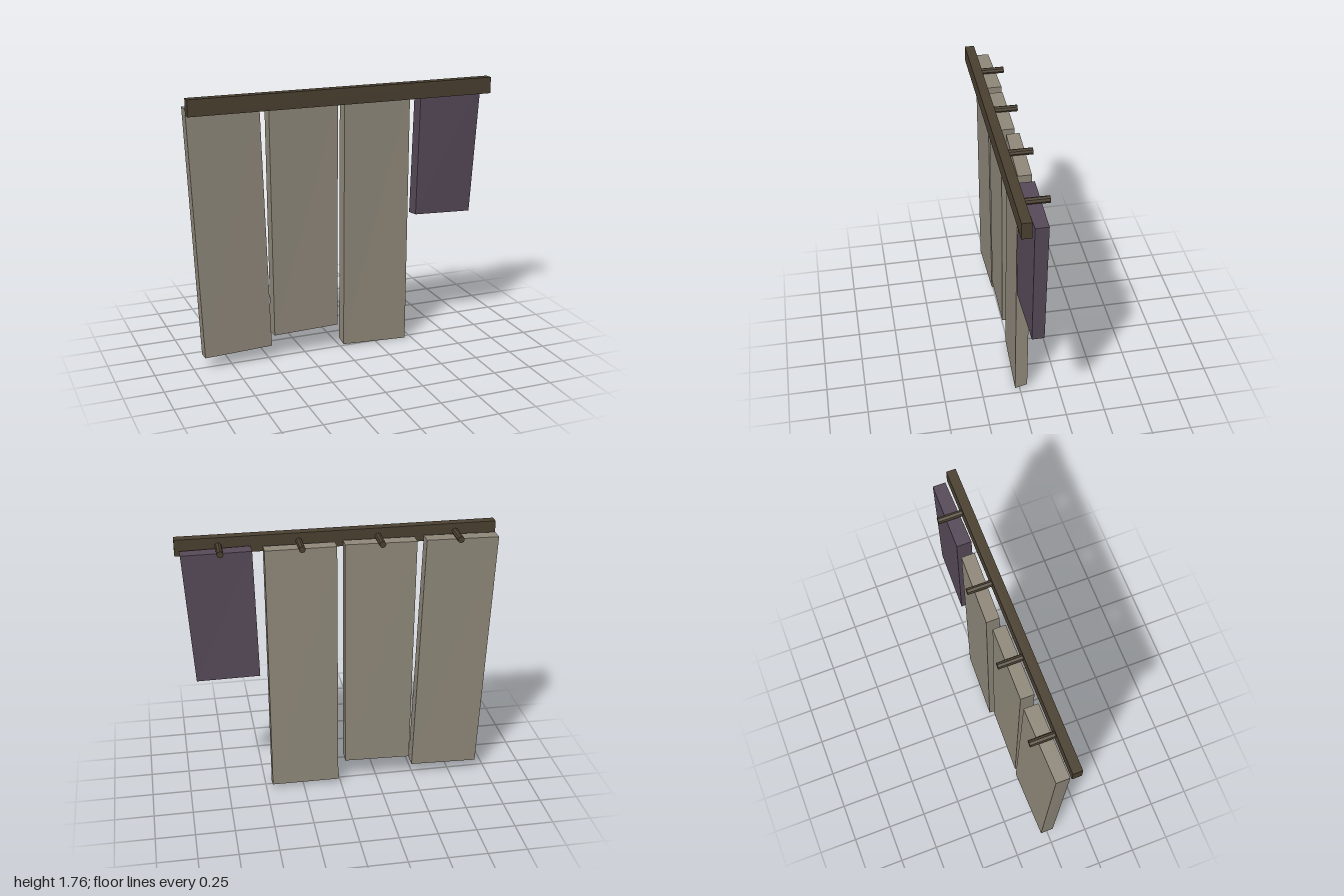
import * as THREE from 'three';

const weathered = new THREE.MeshStandardMaterial({ color: 0x8f887a, flatShading: true });
weathered.name = 'weathered wood';
const purple = new THREE.MeshStandardMaterial({ color: 0x564a58, flatShading: true });
purple.name = 'purple wood';
const darkWood = new THREE.MeshStandardMaterial({ color: 0x4a4030, flatShading: true });
darkWood.name = 'dark wood';

// Uneven plank: each end gives [xLeft, xRight] and corner heights / depths as
// [frontLeft, frontRight, backLeft, backRight]
function plank(name, material, top, bottom) {
  const geo = new THREE.BoxGeometry(1, 1, 1);
  const p = geo.attributes.position;
  for (let i = 0; i < p.count; i++) {
    const end = p.getY(i) > 0 ? top : bottom;
    const right = p.getX(i) > 0 ? 1 : 0;
    const c = right + (p.getZ(i) > 0 ? 0 : 2);
    p.setXYZ(i, end.x[right], end.y[c], end.z[c]);
  }
  geo.computeVertexNormals();
  const mesh = new THREE.Mesh(geo, material);
  mesh.name = name;
  return mesh;
}

export function createModel() {
  const group = new THREE.Group();
  group.name = 'hangingPlanks';

  // Cross beam along the front
  const beam = new THREE.Mesh(new THREE.BoxGeometry(2, 0.104, 0.06), darkWood);
  beam.name = 'beam';
  beam.position.set(0, 1.708, 0.075);
  group.add(beam);

  // Pegs running back from the beam
  for (const x of [-0.74, -0.25, 0.243, 0.735]) {
    const peg = new THREE.Mesh(new THREE.CylinderGeometry(0.021, 0.021, 0.155, 8), darkWood);
    peg.name = 'peg';
    peg.rotation.x = Math.PI / 2;
    peg.position.set(x, 1.708, -0.03);
    group.add(peg);
  }

  // Hanging planks, left to right as seen from the front
  group.add(
    plank('outerPlank', weathered,
      { x: [-0.998, -0.537], y: [1.69, 1.7, 1.69, 1.7], z: [0.035, 0.03, -0.05, -0.06] },
      { x: [-0.93, -0.485], y: [0.083, 0.095, 0.075, 0.095], z: [0.035, 0.025, -0.05, -0.062] }),
    plank('middlePlank', weathered,
      { x: [-0.478, -0.027], y: [1.695, 1.7, 1.695, 1.7], z: [0.03, 0.03, -0.055, -0.05] },
      { x: [-0.464, -0.032], y: [0.162, 0.175, 0.158, 0.163], z: [0.025, 0.03, -0.06, -0.05] }),
    plank('longPlank', weathered,
      { x: [0.025, 0.467], y: [1.7, 1.695, 1.7, 1.695], z: [0.012, 0.025, -0.07, -0.058] },
      { x: [0.018, 0.457], y: [0.02, 0.004, 0.035, 0.028], z: [0.015, 0.03, -0.065, -0.05] }),
    plank('shortPlank', purple,
      { x: [0.54, 0.97], y: [1.7, 1.695, 1.7, 1.695], z: [0.033, 0.025, -0.06, -0.055] },
      { x: [0.518, 0.917], y: [0.872, 0.85, 0.86, 0.85], z: [0.035, 0.02, -0.065, -0.055] }),
  );
  return group;
}
